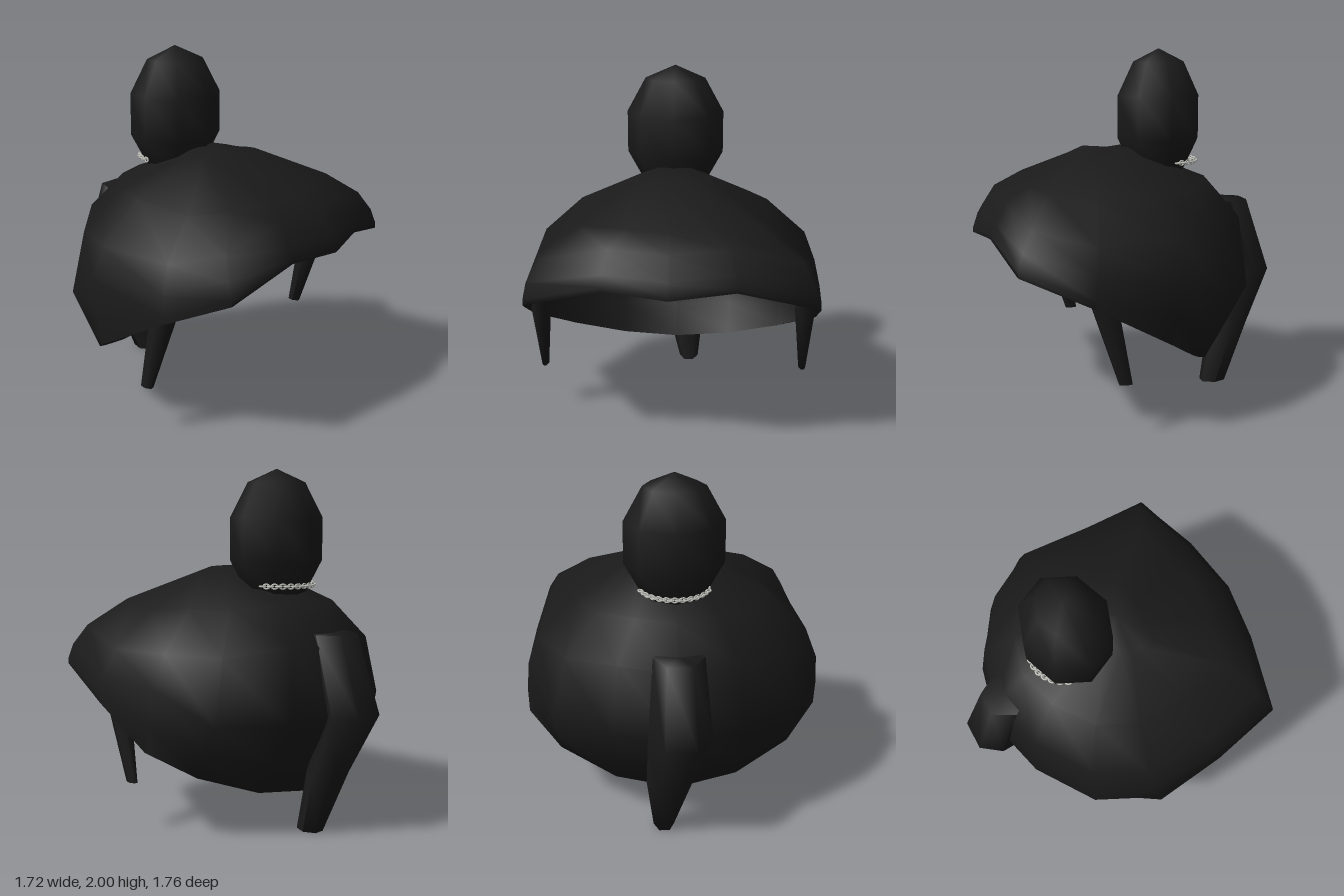
import * as THREE from 'three';
import { toCreasedNormals } from 'three/addons/utils/BufferGeometryUtils.js';

// Skin a stack of closed rings with a cap at each end; each ring runs from +z towards +x.
function loft(rings, topPoint, bottomPoint) {
  const n = rings[0].length;
  const points = rings.flat();
  const index = [];
  for (let r = 0; r < rings.length - 1; r++) {
    for (let c = 0; c < n; c++) {
      const d = (c + 1) % n;
      const a = r * n + c, b = a + n, e = r * n + d, f = e + n;
      index.push(a, b, f, a, f, e);
    }
  }
  const cap = (point, start, up) => {
    const centre = points.push(point) - 1;
    for (let c = 0; c < n; c++) {
      const a = start + c, b = start + (c + 1) % n;
      index.push(centre, up ? a : b, up ? b : a);
    }
  };
  cap(topPoint, 0, true);
  cap(bottomPoint, (rings.length - 1) * n, false);
  const geometry = new THREE.BufferGeometry();
  geometry.setAttribute('position', new THREE.Float32BufferAttribute(points.flat(), 3));
  geometry.setIndex(index);
  return toCreasedNormals(geometry, 1.4);
}

// Six-sided limb through sections [x, y, z, radiusX, radiusZ]
function limb(sections) {
  const rings = sections.map(([x, y, z, rx, rz]) =>
    Array.from({ length: 6 }, (_, i) => {
      const t = (i + 0.5) * Math.PI / 3;
      return [x + rx * Math.sin(t), y, z + rz * Math.cos(t)];
    }));
  return loft(rings, sections[0].slice(0, 3), sections[sections.length - 1].slice(0, 3));
}

// Domed shell with an inner wall, open below, bulging out over its slanted rim
function shellGeometry() {
  const centre = [0, 1.44, 0.1];
  const rim = [
    [0, 0.975, 0.88], [0.35, 1.0, 0.82], [0.77, 0.88, 0.73], [0.84, 0.71, 0.35],
    [0.86, 0.5, -0.05], [0.67, 0.36, -0.25], [0.35, 0.24, -0.4], [0, 0.19, -0.46],
  ];
  // outward fractions of the way to the rim, row by row
  const outFront = [0.17, 0.68, 0.86, 0.955, 1, 1];
  const outSide = [0.27, 0.63, 0.9, 0.98, 1, 1];
  const outFlank = [0.27, 0.65, 0.92, 1.04, 1.02, 1];
  const outBack = [0.21, 1.06, 1.4, 1.485, 1.2, 1];
  // downward fractions
  const front = [0, 0.41, 0.56, 0.82, 0.95, 1];
  const corner = [0.04, 0.33, 0.59, 0.79, 0.94, 1];
  const side = [0.04, 0.21, 0.44, 0.63, 0.84, 1];
  const flank = [0.02, 0.19, 0.4, 0.72, 0.88, 1];
  const back = [0, 0.15, 0.32, 0.65, 0.86, 1];
  const down = [front, front, corner, corner, side, flank, back, back];

  const outer = outSide.map((_, r) => {
    const half = rim.map(([x, y, z], c) => {
      const dz = z - centre[2];
      return [
        x * (c > 4 ? outFlank : outSide)[r],
        centre[1] + (y - centre[1]) * down[c][r],
        centre[2] + dz * (dz > 0 ? outFront : outBack)[r],
      ];
    });
    const mirrored = half.slice(1, -1).reverse().map(([x, y, z]) => [-x, y, z]);
    return [...half, ...mirrored];
  });
  const inner = outer.map((ring, r) => ring.map(([x, y, z]) =>
    [x * 0.955, y - 0.035 * (1 - r / 5), centre[2] + (z - centre[2]) * 0.95])).reverse();
  return loft([...outer, ...inner], centre, [0, centre[1] - 0.035, centre[2]]);
}

export function createModel() {
  const group = new THREE.Group();
  const black = new THREE.MeshStandardMaterial({ color: 0x1a1a1a });
  black.name = 'charcoal black';
  const silver = new THREE.MeshStandardMaterial({ color: 0xc4c4be });
  silver.name = 'silver';

  const add = (name, geometry, material) => {
    const mesh = new THREE.Mesh(geometry, material);
    mesh.name = name;
    group.add(mesh);
    return mesh;
  };

  add('shell', shellGeometry(), black);

  // Head
  const head = add('head', new THREE.SphereGeometry(1, 8, 5), black);
  head.scale.set(0.295, 0.39, 0.257);
  head.position.set(0, 1.61, -0.21);

  // Fine chain round the back of the neck, links alternately upright and flat
  const link = new THREE.TorusGeometry(0.013, 0.005, 5, 10);
  link.scale(1.3, 1, 1);
  for (let i = 0; i < 24; i++) {
    const t = THREE.MathUtils.lerp(-1.25, 1.25, i / 23);
    const mesh = add('neckChainLink', link, silver);
    mesh.position.set(0.2 * Math.sin(t), 1.355, -0.21 - 0.218 * Math.cos(t));
    mesh.rotation.order = 'YXZ';
    mesh.rotation.y = -Math.atan2(0.218 * Math.sin(t), 0.2 * Math.cos(t));
    mesh.rotation.x = (i % 2) * Math.PI / 2;
  }

  // Bent rear limb
  add('rearLimb', limb([
    [0, 1.11, -0.62, 0.14, 0.14],
    [0, 0.68, -0.765, 0.175, 0.135],
    [0.05, 0.35, -0.64, 0.13, 0.11],
    [0.08, 0, -0.54, 0.06, 0.08],
  ]), black);

  // Tapered side legs under the rim
  for (const [name, s] of [['leftLeg', 1], ['rightLeg', -1]]) {
    add(name, limb([
      [s * 0.752, 0.8, 0.31, 0.05, 0.075],
      [s * 0.757, 0.68, 0.28, 0.057, 0.075],
      [s * 0.765, 0.275, 0.175, 0.021, 0.04],
    ]), black);
  }

  return group;
}
